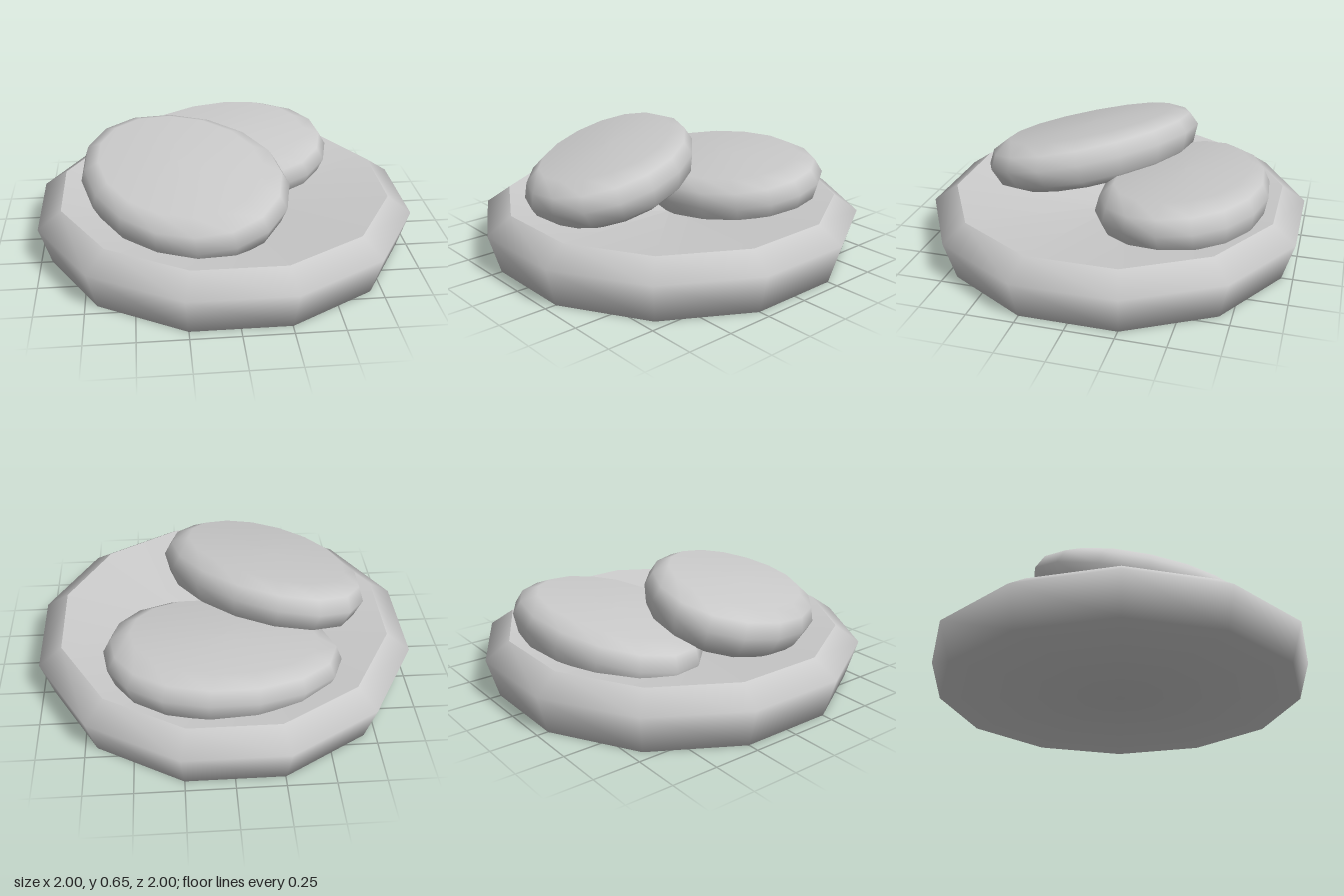
import * as THREE from 'three';

const material = new THREE.MeshStandardMaterial({ color: 0xcccccc });

function lathe(name, profile, sides, start = 0) {
  const points = profile.map(([r, y]) => new THREE.Vector2(r, y));
  const mesh = new THREE.Mesh(new THREE.LatheGeometry(points, sides, start), material);
  mesh.name = name;
  return mesh;
}

// Flat egg-shaped stone: half length, half width, turn about y, tilt about x and z.
// egg moves the widest section towards the +x end of the stone.
function stone(name, length, width, egg, turn, tiltX, tiltZ, position) {
  const pebble = lathe(name + 'Body', [
    [0, -0.15], [0.78, -0.15], [0.93, -0.1], [1, 0],
    [0.94, 0.075], [0.78, 0.125], [0, 0.13],
  ], 16);
  const p = pebble.geometry.attributes.position;
  for (let i = 0; i < p.count; i++) p.setX(i, p.getX(i) + egg * p.getZ(i) ** 2);
  pebble.scale.set(length, 1, width);
  pebble.rotation.y = turn;

  const group = new THREE.Group();
  group.name = name;
  group.add(pebble);
  group.rotation.set(tiltX, 0, tiltZ);
  group.position.set(...position);
  return group;
}

// Twelve-sided base with flats facing the axes and a shallow hollow on top
function base() {
  const k = 1 / Math.cos(Math.PI / 12); // flat distance to corner radius
  const start = Math.PI / 12;
  const rim = [0.875 * k, 0.3];

  const body = lathe('baseStone', [[0, 0], [0.94 * k, 0], [k, 0.21], rim], 12, start);
  // Soft shading around the bottom rim: outward and upward parts per profile point
  const slopes = [[0, -0.77], [0.64, -0.77], [0.95, 0.32], [0.57, 0.82]];
  const { position, normal } = body.geometry.attributes;
  for (let i = 0; i < position.count; i++) {
    const [out, up] = slopes[i % slopes.length];
    const angle = Math.atan2(position.getX(i), position.getZ(i));
    normal.setXYZ(i, out * Math.sin(angle), up, out * Math.cos(angle));
  }

  const group = new THREE.Group();
  group.name = 'base';
  group.add(body, lathe('baseHollow', [rim, [0, 0.18]], 12, start));
  return group;
}

export function createModel() {
  const model = new THREE.Group();
  model.name = 'stackedStones';
  model.add(base());

  // Two oval stones, the front one leaning on the back one
  model.add(stone('backStone', 0.622, 0.457, 0.13, -0.04, 0.125, 0.06, [0.023, 0.327, -0.383]));
  model.add(stone('frontStone', 0.635, 0.468, 0.08, -0.87, 0.21, 0.12, [-0.245, 0.436, 0.21]));

  return model;
}
